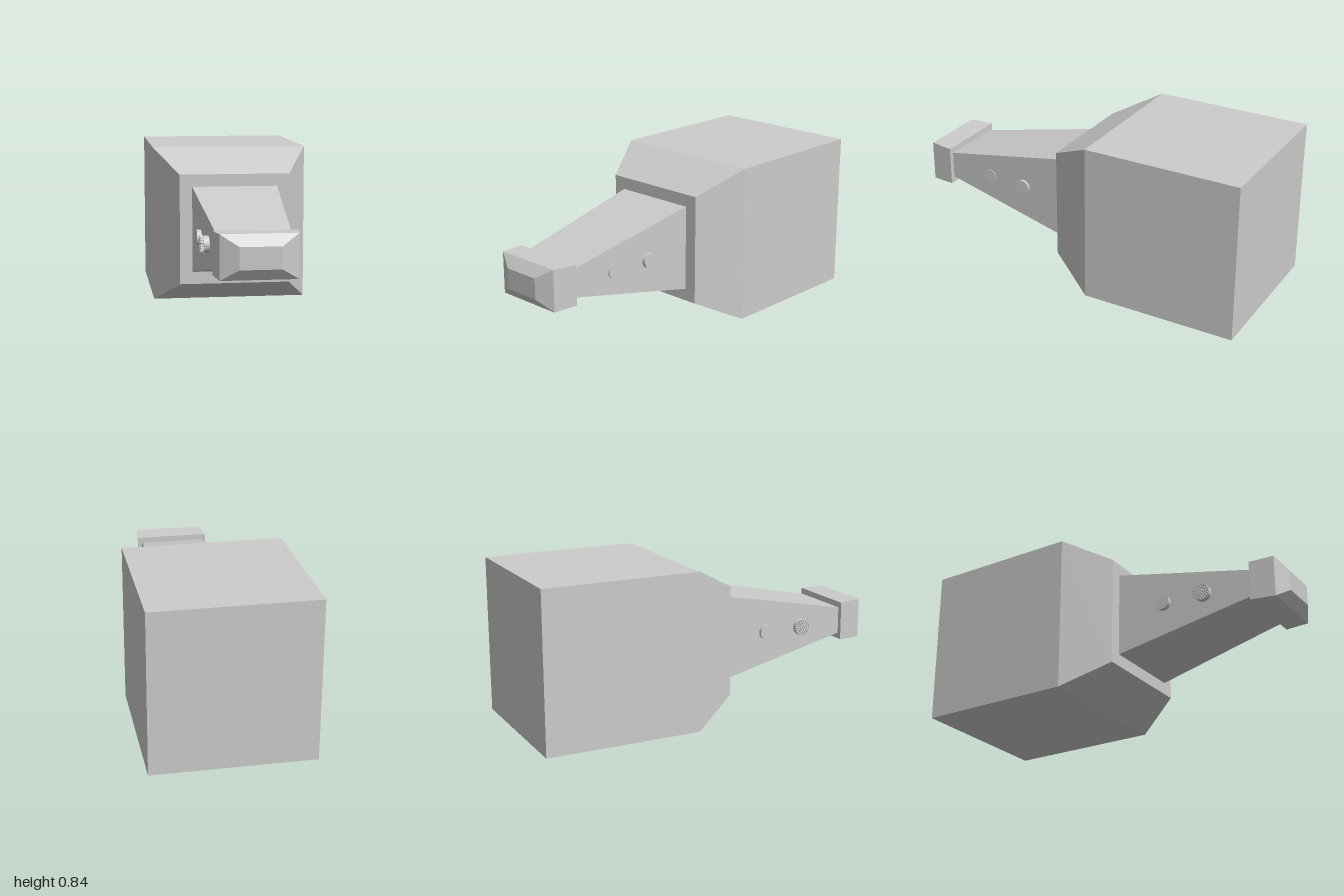
import * as THREE from 'three';

const material = new THREE.MeshStandardMaterial({ color: 0xcccccc, flatShading: true });
const MID = 0.42; // height of the long axis

function add(parent, name, geometry) {
  const mesh = new THREE.Mesh(geometry, material);
  mesh.name = name;
  parent.add(mesh);
  return mesh;
}

// Closed loft through rectangles [z, half width, half height], back to front
function rectLoft(sections) {
  const pos = [];
  const corners = ([z, w, h]) => [[-w, MID - h, z], [w, MID - h, z], [w, MID + h, z], [-w, MID + h, z]];
  const quad = (a, b, c, d) => pos.push(...a, ...b, ...c, ...a, ...c, ...d);
  const rings = sections.map(corners);
  for (let s = 0; s < rings.length - 1; s++) {
    for (let i = 0; i < 4; i++) {
      const j = (i + 1) % 4;
      quad(rings[s][i], rings[s][j], rings[s + 1][j], rings[s + 1][i]);
    }
  }
  const back = rings[0], front = rings[rings.length - 1];
  quad(back[3], back[2], back[1], back[0]);
  quad(front[0], front[1], front[2], front[3]);
  const geometry = new THREE.BufferGeometry();
  geometry.setAttribute('position', new THREE.Float32BufferAttribute(pos, 3));
  geometry.computeVertexNormals();
  return geometry;
}

// Disc lying across x, between two x positions
function disc(parent, name, radius, x0, x1, y, z, sides = 24) {
  const geometry = new THREE.CylinderGeometry(radius, radius, Math.abs(x1 - x0), sides);
  geometry.rotateZ(Math.PI / 2);
  add(parent, name, geometry).position.set((x0 + x1) / 2, y, z);
}

export function createModel() {
  const model = new THREE.Group();
  model.name = 'model';

  // Large rear housing with a chamfered front
  add(model, 'housing', rectLoft([[-1, 0.418, 0.42], [-0.165, 0.418, 0.42], [0.078, 0.294, 0.294]]));
  // Tapered neck
  add(model, 'neck', rectLoft([[0.07, 0.228, 0.23], [0.84, 0.178, 0.07]]));
  // Nozzle cap with a bevelled tip
  add(model, 'cap', rectLoft([[0.828, 0.205, 0.105], [0.957, 0.187, 0.109], [1, 0.1, 0.054]]));

  // Plain buttons on the neck sides
  disc(model, 'leftRearButton', 0.04, 0.18, 0.227, MID, 0.34);
  disc(model, 'leftFrontButton', 0.04, 0.17, 0.201, MID, 0.565);
  disc(model, 'rightRearButton', 0.04, -0.18, -0.232, MID, 0.34);

  // Studded button on the right side
  const studded = new THREE.Group();
  studded.name = 'studdedButton';
  model.add(studded);
  disc(studded, 'studdedBase', 0.043, -0.17, -0.222, MID, 0.565);
  for (const [radius, count] of [[0, 1], [0.013, 6], [0.026, 12], [0.039, 18]]) {
    for (let i = 0; i < count; i++) {
      const a = (i / count) * Math.PI * 2;
      disc(studded, 'stud', 0.005, -0.215, -0.237, MID + radius * Math.sin(a), 0.565 + radius * Math.cos(a), 8);
    }
  }
  return model;
}
